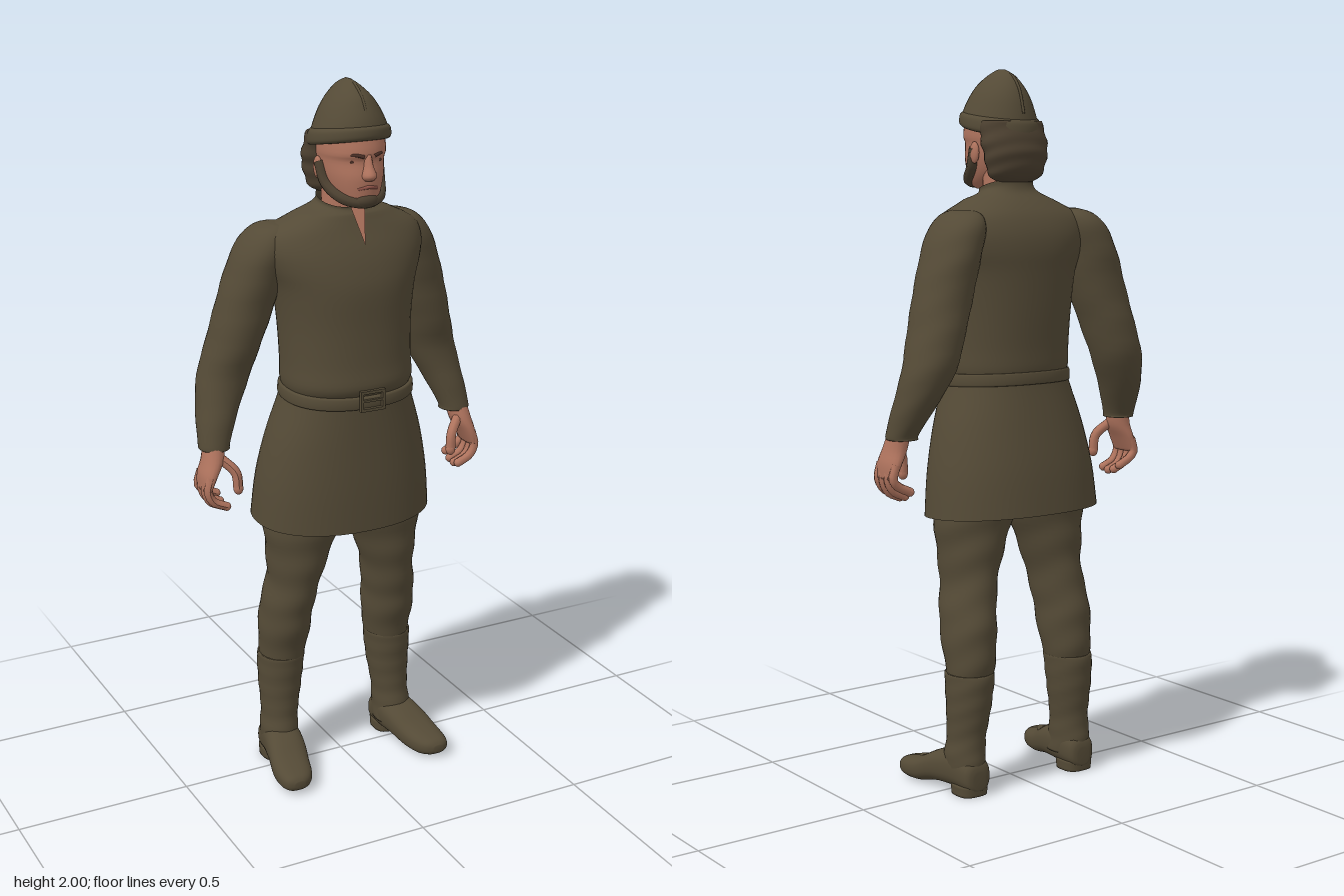
import * as THREE from 'three';

const mat = (name, color, side = THREE.FrontSide) => {
  const m = new THREE.MeshStandardMaterial({ color, side });
  m.name = name;
  return m;
};

// Smooth interpolation between rows of numbers
function smoothRows(rows, sub) {
  const out = [];
  for (let i = 0; i < rows.length - 1; i++) {
    const [a, b, c, d] = [-1, 0, 1, 2].map(k => rows[Math.min(rows.length - 1, Math.max(0, i + k))]);
    for (let s = 0; s < sub; s++) {
      const t = s / sub;
      out.push(b.map((p, k) => p + 0.5 * t * (c[k] - a[k]
        + t * (2 * a[k] - 5 * p + 4 * c[k] - d[k] + t * (3 * (p - c[k]) + d[k] - a[k])))));
    }
  }
  out.push(rows[rows.length - 1]);
  return out;
}

// Closed skin over rows of [along, xMin, xMax, low, high]; axis 'y' rings lie flat, axis 'z' rings stand up
function loft(rows, { axis = 'y', seg = 32, sub = 4, p = 1, wrinkle = 0, freq = 90, cap = true, warp } = {}) {
  const rings = smoothRows(rows, sub), pos = [], idx = [], v = new THREE.Vector3();
  const add = (t, x, c, off) => {
    if (axis === 'y') v.set(x, t, c + off); else v.set(x, c - off, t);
    if (warp) warp(v);
    pos.push(v.x, v.y, v.z);
  };
  const pw = s => Math.sign(s) * Math.pow(Math.abs(s), p);
  for (const [t, x0, x1, lo, hi] of rings) {
    for (let j = 0; j < seg; j++) {
      const a = j / seg * Math.PI * 2;
      const k = 1 + wrinkle * Math.sin(t * freq + 1.5 * Math.sin(a) + Math.cos(2 * a));
      add(t, (x0 + x1) / 2 + (x1 - x0) / 2 * pw(Math.cos(a)) * k, (lo + hi) / 2, (hi - lo) / 2 * pw(Math.sin(a)) * k);
    }
  }
  const n = rings.length;
  for (let i = 0; i < n - 1; i++) for (let j = 0; j < seg; j++) {
    const a = i * seg + j, b = i * seg + (j + 1) % seg;
    idx.push(a, a + seg, b, b, a + seg, b + seg);
  }
  if (cap) [0, n - 1].forEach((r, e) => {
    const [t, x0, x1, lo, hi] = rings[r], c = pos.length / 3;
    add(t, (x0 + x1) / 2, (lo + hi) / 2, 0);
    for (let j = 0; j < seg; j++) {
      const a = r * seg + j, b = r * seg + (j + 1) % seg;
      if (e) idx.push(c, b, a); else idx.push(c, a, b);
    }
  });
  const g = new THREE.BufferGeometry();
  g.setAttribute('position', new THREE.Float32BufferAttribute(pos, 3));
  g.setIndex(idx);
  g.computeVertexNormals();
  return g;
}
// Rows symmetric in x: [along, halfWidth, low, high]
const sym = rows => rows.map(([t, w, lo, hi]) => [t, -w, w, lo, hi]);
const tube = (pts, r, n = 16) => new THREE.TubeGeometry(
  new THREE.CatmullRomCurve3(pts.map(q => new THREE.Vector3(...q))), n, r, 8);

export function createModel() {
  const cloth = mat('olive cloth', 0x544a36, THREE.DoubleSide);
  const skin = mat('skin', 0xb0745e, THREE.DoubleSide);
  const hairMat = mat('brown hair', 0x4c4030);
  const dark = mat('dark features', 0x4a2f26);
  const lip = mat('lips', 0x93564a);
  const root = new THREE.Group();
  const add = (name, geo, m, parent = root) => {
    const mesh = new THREE.Mesh(geo, m);
    mesh.name = name;
    parent.add(mesh);
    return mesh;
  };
  const ball = (name, m, at, scale, parent) => {
    const b = add(name, new THREE.SphereGeometry(1, 16, 10), m, parent);
    b.position.set(...at);
    b.scale.set(...scale);
    return b;
  };

  // Tunic: upper body blousing over the belt, then a flared open skirt
  add('tunicTop', loft(sym([
    [1.16, 0.175, -0.12, 0.17], [1.19, 0.184, -0.128, 0.185], [1.25, 0.183, -0.13, 0.178],
    [1.35, 0.187, -0.137, 0.172], [1.45, 0.2, -0.142, 0.17], [1.51, 0.222, -0.145, 0.158],
    [1.56, 0.232, -0.138, 0.14], [1.605, 0.215, -0.118, 0.117], [1.64, 0.15, -0.088, 0.1],
    [1.665, 0.1, -0.06, 0.09], [1.685, 0.078, -0.05, 0.085], [1.705, 0.076, -0.048, 0.085],
  ]), { p: 0.9, cap: false, seg: 48, warp: v => { if (v.y > 1.65) v.y -= (v.z + 0.05) * (v.y - 1.65) * 5; } }), cloth);
  add('tunicSkirt', loft(sym([
    [0.78, 0.262, -0.19, 0.175], [0.9, 0.25, -0.175, 0.175], [1.02, 0.225, -0.15, 0.172],
    [1.12, 0.193, -0.128, 0.17], [1.17, 0.178, -0.12, 0.17],
  ]), { p: 0.9, cap: false, seg: 48, warp: v => { v.y -= v.z * 0.06; } }), cloth);
  add('belt', loft(sym([
    [1.14, 0.186, -0.127, 0.179], [1.145, 0.19, -0.131, 0.184],
    [1.17, 0.189, -0.13, 0.184], [1.175, 0.184, -0.126, 0.178],
  ]), { p: 0.9, seg: 48, sub: 2, warp: v => { v.y -= v.z * 0.05; } }), cloth);

  // Buckle frame with its pin
  const buckle = new THREE.Group();
  buckle.name = 'buckle';
  buckle.position.set(0, 1.157, 0.188);
  root.add(buckle);
  for (const s of [-1, 1]) {
    add('buckleBar', new THREE.BoxGeometry(0.07, 0.008, 0.012), cloth, buckle).position.y = s * 0.025;
    add('buckleSide', new THREE.BoxGeometry(0.008, 0.058, 0.012), cloth, buckle).position.x = s * 0.033;
  }
  add('bucklePin', new THREE.BoxGeometry(0.06, 0.006, 0.008), cloth, buckle);

  // Open neck slit
  const slit = new THREE.Shape([[-0.022, 0.112], [0, 0], [0.022, 0.112]].map(q => new THREE.Vector2(...q)));
  const slitMesh = add('neckOpening', new THREE.ShapeGeometry(slit), skin);
  slitMesh.position.set(0, 1.575, 0.143);
  slitMesh.rotation.x = -0.44;

  // Neck and head
  add('neck', loft(sym([[1.58, 0.068, -0.045, 0.085], [1.66, 0.064, -0.04, 0.082], [1.76, 0.062, -0.04, 0.09]])), skin);
  add('head', loft(sym([
    [1.675, 0.028, 0.07, 0.138], [1.69, 0.05, 0.03, 0.154], [1.72, 0.068, -0.02, 0.16],
    [1.76, 0.08, -0.05, 0.163], [1.8, 0.085, -0.055, 0.156], [1.825, 0.088, -0.055, 0.163],
    [1.89, 0.085, -0.05, 0.148],
  ]), { p: 0.95 }), skin);
  add('nose', loft(sym([
    [1.752, 0.014, 0.14, 0.172], [1.765, 0.02, 0.135, 0.187], [1.79, 0.013, 0.13, 0.176], [1.82, 0.01, 0.12, 0.165],
  ]), { seg: 16 }), skin);
  add('mouth', tube([[-0.028, 1.73, 0.151], [0, 1.735, 0.162], [0.028, 1.73, 0.151]], 0.005), lip);

  // Hair, beard and chin
  add('hair', loft(sym([
    [1.695, 0.055, -0.05, 0], [1.715, 0.085, -0.07, 0.022], [1.76, 0.098, -0.083, 0.03],
    [1.8, 0.104, -0.08, 0.04], [1.86, 0.098, -0.062, 0.06],
  ]), { wrinkle: 0.025, freq: 140, sub: 6 }), hairMat);
  add('beard', tube([[-0.088, 1.79, 0.045], [-0.08, 1.735, 0.07], [-0.05, 1.7, 0.125], [0, 1.692, 0.15],
    [0.05, 1.7, 0.125], [0.08, 1.735, 0.07], [0.088, 1.79, 0.045]], 0.015, 32), hairMat);
  ball('chinBeard', hairMat, [0, 1.697, 0.145], [0.034, 0.02, 0.022]);

  // Pointed helmet with a rolled brim and a centre ridge, tipped up at the front
  const tip = v => { v.y += 0.17 * (v.z - 0.05) * (2 - v.y) / 0.15; };
  add('helmet', loft(sym([
    [1.84, 0.104, -0.068, 0.16], [1.862, 0.103, -0.066, 0.16], [1.895, 0.091, -0.06, 0.153], [1.93, 0.074, -0.05, 0.138],
    [1.96, 0.052, -0.034, 0.12], [1.985, 0.026, -0.01, 0.09], [2, 0.004, 0.025, 0.06],
  ]), { warp: tip }), cloth);
  add('helmetBrim', loft(sym([
    [1.836, 0.102, -0.066, 0.158], [1.845, 0.109, -0.073, 0.166],
    [1.868, 0.107, -0.071, 0.165], [1.878, 0.098, -0.064, 0.157],
  ]), { warp: tip }), cloth);
  add('helmetRidge', tube([[0, 1.885, 0.155], [0, 1.95, 0.128], [0, 1.985, 0.09], [0, 1.996, 0.045],
    [0, 1.983, -0.008], [0, 1.95, -0.04], [0, 1.88, -0.063]], 0.004, 32), cloth);

  // Paired parts, modelled for +x and mirrored
  for (const s of [1, -1]) {
    const side = new THREE.Group();
    side.name = s > 0 ? 'leftSide' : 'rightSide';
    root.add(side);
    const put = (name, geo, m) => {
      if (s < 0) {
        const p = geo.attributes.position, ix = geo.index.array;
        for (let i = 0; i < p.count; i++) p.setX(i, -p.getX(i));
        for (let i = 0; i < ix.length; i += 3) [ix[i], ix[i + 1]] = [ix[i + 1], ix[i]];
        geo.computeVertexNormals();
      }
      return add(name, geo, m, side);
    };

    // Face
    ball('eye', dark, [s * 0.034, 1.801, 0.143], [0.012, 0.005, 0.004], side);
    put('eyebrow', tube([[0.014, 1.815, 0.162], [0.036, 1.82, 0.152], [0.058, 1.814, 0.126]], 0.005), dark);
    ball('ear', skin, [s * 0.09, 1.775, 0.042], [0.01, 0.03, 0.018], side);

    // Sleeve
    put('sleeve', loft([
      [1.015, 0.335, 0.419, -0.066, 0.022], [1.03, 0.333, 0.421, -0.068, 0.022], [1.1, 0.303, 0.413, -0.11, 0.012],
      [1.2, 0.253, 0.396, -0.148, 0], [1.3, 0.22, 0.368, -0.15, 0.02], [1.4, 0.185, 0.343, -0.14, 0.03],
      [1.5, 0.16, 0.31, -0.142, 0.045], [1.57, 0.14, 0.277, -0.132, 0.05], [1.608, 0.14, 0.24, -0.105, 0.035],
      [1.622, 0.16, 0.2, -0.06, 0.01],
    ], { wrinkle: 0.012, freq: 70, p: 0.95 }), cloth);

    // Hand with curled fingers
    put('palm', loft([
      [0.91, 0.405, 0.43, -0.05, 0.042], [0.95, 0.383, 0.43, -0.053, 0.044],
      [0.99, 0.36, 0.42, -0.048, 0.035], [1.04, 0.352, 0.41, -0.05, 0.015],
    ], { seg: 20 }), skin);
    [-0.042, -0.017, 0.008, 0.031].forEach((z, i) => {
      const d = [0.02, 0.005, 0, 0.006][i];
      put('finger', tube([[0.41, 0.95, z], [0.42, 0.91, z], [0.405, 0.872 + d, z], [0.367, 0.853 + d, z]], 0.0125, 10), skin);
      ball('fingertip', skin, [s * 0.367, 0.853 + d, z], [0.0125, 0.0125, 0.0125], side);
    });
    put('thumb', tube([[0.375, 0.995, 0.01], [0.34, 0.955, 0.036], [0.335, 0.91, 0.04]], 0.014, 10), skin);
    ball('thumbTip', skin, [s * 0.335, 0.91, 0.04], [0.014, 0.018, 0.014], side);

    // Trouser leg with folds at the knee
    put('trouserLeg', loft([
      [0.31, 0.118, 0.23, -0.105, 0.02], [0.37, 0.102, 0.238, -0.118, 0.035], [0.45, 0.095, 0.24, -0.12, 0.06],
      [0.51, 0.09, 0.236, -0.115, 0.072], [0.6, 0.075, 0.223, -0.1, 0.09], [0.7, 0.04, 0.231, -0.1, 0.105],
      [0.8, 0.004, 0.238, -0.105, 0.115], [0.92, 0, 0.225, -0.1, 0.12],
    ], { wrinkle: 0.022, freq: 60, sub: 6 }), cloth);

    // Boot shaft, foot and heel
    put('bootShaft', loft([
      [0.05, 0.132, 0.235, -0.1, 0.045], [0.1, 0.132, 0.241, -0.104, 0.03], [0.16, 0.13, 0.236, -0.1, 0.02],
      [0.25, 0.116, 0.24, -0.113, 0.022], [0.335, 0.107, 0.242, -0.12, 0.03], [0.345, 0.112, 0.236, -0.113, 0.024],
    ], { wrinkle: 0.015, freq: 110, sub: 6 }), cloth);
    put('bootFoot', loft([
      [-0.108, 0.165, 0.205, 0.02, 0.07], [-0.095, 0.143, 0.228, 0.012, 0.1], [-0.03, 0.133, 0.242, 0.014, 0.125],
      [0.04, 0.14, 0.257, 0.014, 0.108], [0.1, 0.155, 0.27, 0.002, 0.078], [0.15, 0.17, 0.271, 0.002, 0.064],
      [0.18, 0.19, 0.262, 0.01, 0.055], [0.192, 0.212, 0.242, 0.022, 0.042],
    ], { axis: 'z', p: 0.8 }), cloth);
    put('bootHeel', loft([[0, 0.142, 0.232, -0.105, -0.015], [0.03, 0.14, 0.234, -0.107, -0.012]], { p: 0.7 }), cloth);
  }
  return root;
}
